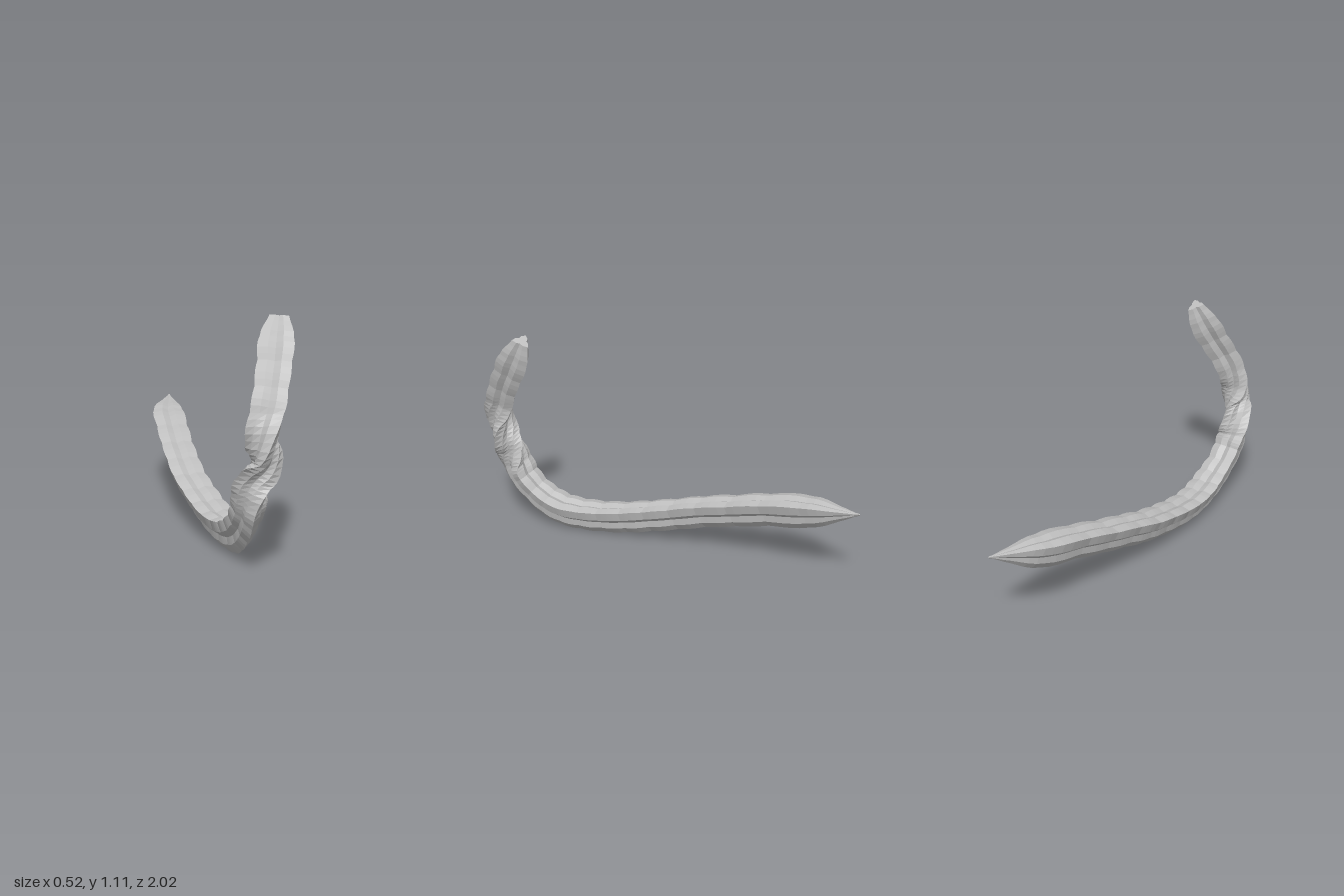
import * as THREE from 'three';

// Centreline stations from pointed tip to blunt end: x, y, z, half width
const STATIONS = [
  [-0.15, 0.44, -1.0, 0.004],
  [-0.163, 0.405, -0.89, 0.036],
  [-0.18, 0.355, -0.72, 0.079],
  [-0.175, 0.308, -0.5, 0.081],
  [-0.165, 0.258, -0.32, 0.08],
  [-0.15, 0.213, -0.15, 0.08],
  [-0.13, 0.167, 0.0, 0.08],
  [-0.1, 0.131, 0.14, 0.08],
  [-0.07, 0.101, 0.27, 0.08],
  [-0.04, 0.082, 0.4, 0.08],
  [-0.01, 0.079, 0.51, 0.081],
  [0.018, 0.091, 0.61, 0.082],
  [0.036, 0.126, 0.7, 0.081],
  [0.046, 0.18, 0.78, 0.077],
  [0.055, 0.25, 0.85, 0.08],
  [0.06, 0.33, 0.888, 0.08],
  [0.082, 0.42, 0.9, 0.076],
  [0.118, 0.5, 0.912, 0.073],
  [0.118, 0.6, 0.916, 0.075],
  [0.127, 0.7, 0.88, 0.073],
  [0.15, 0.8, 0.835, 0.073],
  [0.173, 0.9, 0.775, 0.075],
  [0.191, 1.0, 0.717, 0.075],
  [0.206, 1.095, 0.672, 0.044],
];
const STEPS = 4;

// Three-lobed cross-section: one lobe down, two up; centred on its own height
const LOBE = [1.18, 0.83, 0.55, 0.83];
const SECTION = Array.from({ length: 12 }, (_, j) => {
  const a = -Math.PI / 2 + (j * Math.PI) / 6;
  return new THREE.Vector2(Math.cos(a), Math.sin(a)).multiplyScalar(LOBE[j % 4]).add(new THREE.Vector2(0, 0.23));
});
const SIDES = SECTION.length;

function lobedBody() {
  const spans = STATIONS.length - 1;
  const path = new THREE.CatmullRomCurve3(STATIONS.map(([x, y, z]) => new THREE.Vector3(x, y, z)));
  const widths = new THREE.SplineCurve(STATIONS.map((s, i) => new THREE.Vector2(i, s[3])));
  const rings = spans * STEPS;
  const pos = [], idx = [], origin = new THREE.Vector2();

  for (let i = 0; i <= rings; i++) {
    const t = i / rings, u = i / STEPS;
    const centre = path.getPoint(t), tangent = path.getTangent(t);
    const side = new THREE.Vector3(1, 0, 0).addScaledVector(tangent, -tangent.x).normalize();
    const up = new THREE.Vector3().crossVectors(tangent, side);
    // one soft swelling per span, and nearly a half turn through the neck
    const r = widths.getPoint(t).y * (0.96 + 0.07 * Math.abs(Math.sin(Math.PI * u)));
    const twist = THREE.MathUtils.smoothstep(u, 14.3, 19.5) * Math.PI * 0.93;
    for (const corner of SECTION) {
      const q = corner.clone().rotateAround(origin, twist).multiplyScalar(r);
      const p = centre.clone().addScaledVector(side, q.x).addScaledVector(up, q.y);
      pos.push(p.x, p.y, p.z);
    }
  }
  for (let i = 0; i < rings; i++) {
    for (let j = 0; j < SIDES; j++) {
      const a = i * SIDES + j, b = i * SIDES + ((j + 1) % SIDES);
      idx.push(a, b, b + SIDES, a, b + SIDES, a + SIDES);
    }
  }
  // blunt end cap, fanned from its middle
  const last = rings * SIDES, middle = last + SIDES;
  pos.push(...path.getPoint(1).toArray());
  for (let j = 0; j < SIDES; j++) idx.push(middle, last + j, last + ((j + 1) % SIDES));

  const geo = new THREE.BufferGeometry();
  geo.setAttribute('position', new THREE.Float32BufferAttribute(pos, 3));
  geo.setIndex(idx);
  const flat = geo.toNonIndexed();
  flat.computeVertexNormals();
  return flat;
}

export function createModel() {
  const grey = new THREE.MeshStandardMaterial({ color: 0xc0c0c0, flatShading: true, side: THREE.DoubleSide });
  grey.name = 'light grey';
  const body = new THREE.Mesh(lobedBody(), grey);
  body.name = 'lobedBody';
  const group = new THREE.Group();
  group.name = 'curvedPod';
  group.add(body);
  return group;
}
